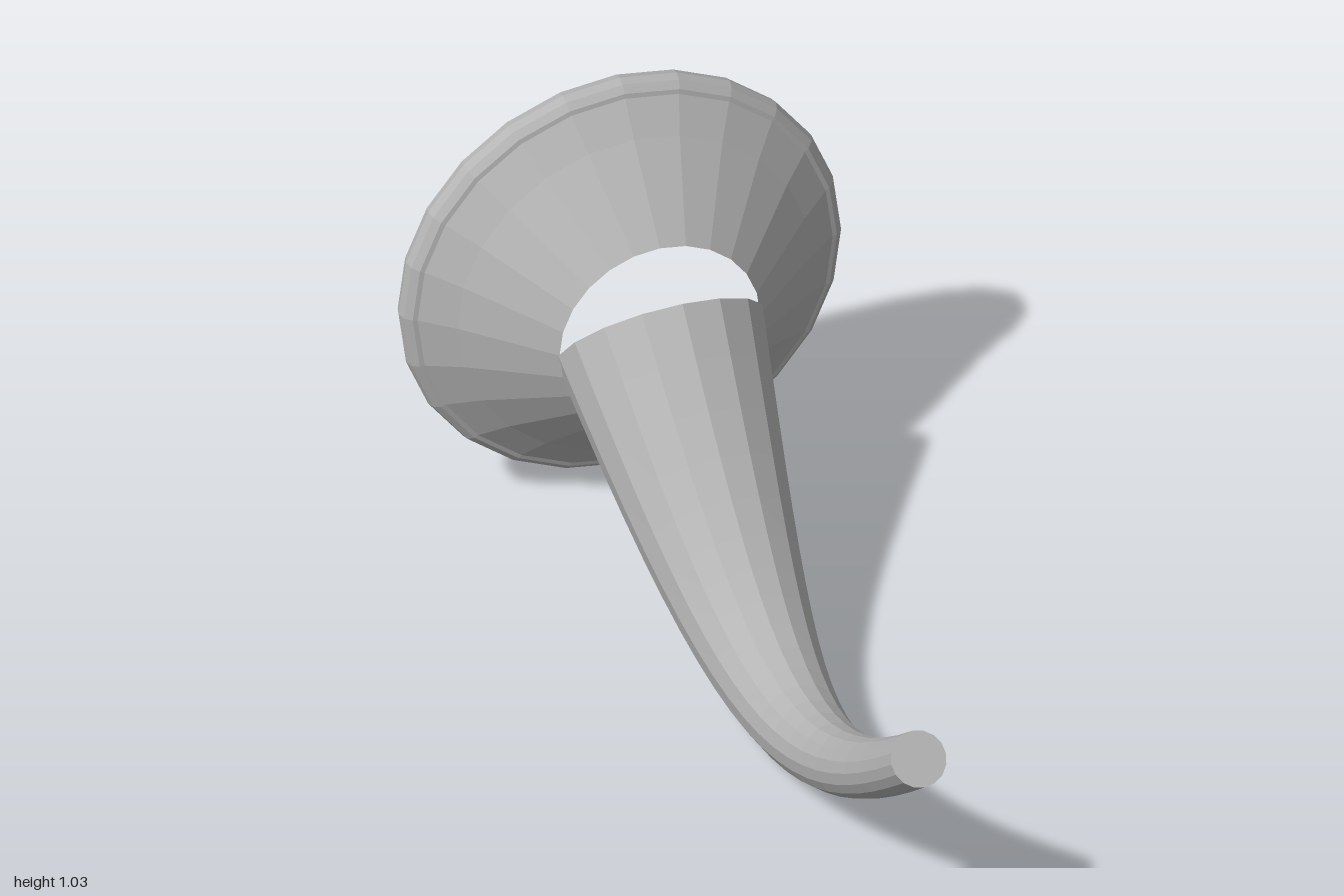
import * as THREE from 'three';

const SIDES = 16, STEPS = 20;

// Centre line of the neck, from mouthpiece to bell
const path = new THREE.CubicBezierCurve3(
  new THREE.Vector3(0, 0.52, 0.96),
  new THREE.Vector3(0, -0.04, 0.27),
  new THREE.Vector3(0, -0.04, -0.01),
  new THREE.Vector3(0, 0.52, -0.70)
);
const radiusAt = (t) => 0.062 + 0.168 * t * t;

// Point on the neck surface: a ring square to the path
function neckPoint(t, a) {
  const p = path.getPoint(t);
  const d = path.getTangent(t);
  const up = new THREE.Vector3(0, -d.z, d.y);
  const r = radiusAt(t);
  return p.addScaledVector(up, Math.cos(a) * r).add(new THREE.Vector3(Math.sin(a) * r, 0, 0));
}

function neckGeometry() {
  const pos = [], index = [];
  for (let i = 0; i <= STEPS; i++) {
    for (let j = 0; j < SIDES; j++) {
      pos.push(...neckPoint(i / STEPS, (j / SIDES) * Math.PI * 2).toArray());
    }
  }
  for (let i = 0; i < STEPS; i++) {
    for (let j = 0; j < SIDES; j++) {
      const k = (j + 1) % SIDES;
      const a = i * SIDES + j, b = i * SIDES + k;
      const c = a + SIDES, d = b + SIDES;
      index.push(a, b, c, b, d, c);
    }
  }
  // Closed mouthpiece end; the wide end stays open
  const centre = pos.length / 3;
  pos.push(...path.getPoint(0).toArray());
  for (let j = 0; j < SIDES; j++) index.push(centre, (j + 1) % SIDES, j);
  const g = new THREE.BufferGeometry();
  g.setAttribute('position', new THREE.Float32BufferAttribute(pos, 3));
  g.setIndex(index);
  g.computeVertexNormals();
  return g;
}

export function createModel() {
  const group = new THREE.Group();
  group.name = 'horn';
  const grey = new THREE.MeshStandardMaterial({ color: 0xb4b4b4, flatShading: true, side: THREE.DoubleSide });
  grey.name = 'grey metal';

  const add = (name, geometry) => {
    const m = new THREE.Mesh(geometry, grey);
    m.name = name;
    group.add(m);
    return m;
  };

  // Curved, tapering neck
  add('neck', neckGeometry());

  // Flared bell, open at both ends, widening towards the back
  const profile = [[0.227, 0.70], [0.40, 0.866], [0.485, 0.935]].map(([r, h]) => new THREE.Vector2(r, h));
  const bell = add('bell', new THREE.LatheGeometry(profile, 24));
  bell.rotation.x = -Math.PI / 2;
  bell.position.y = 0.52;

  // Rolled rim
  const rim = add('rim', new THREE.TorusGeometry(0.46, 0.04, 12, 24));
  rim.position.set(0, 0.52, -0.96);

  return group;
}
